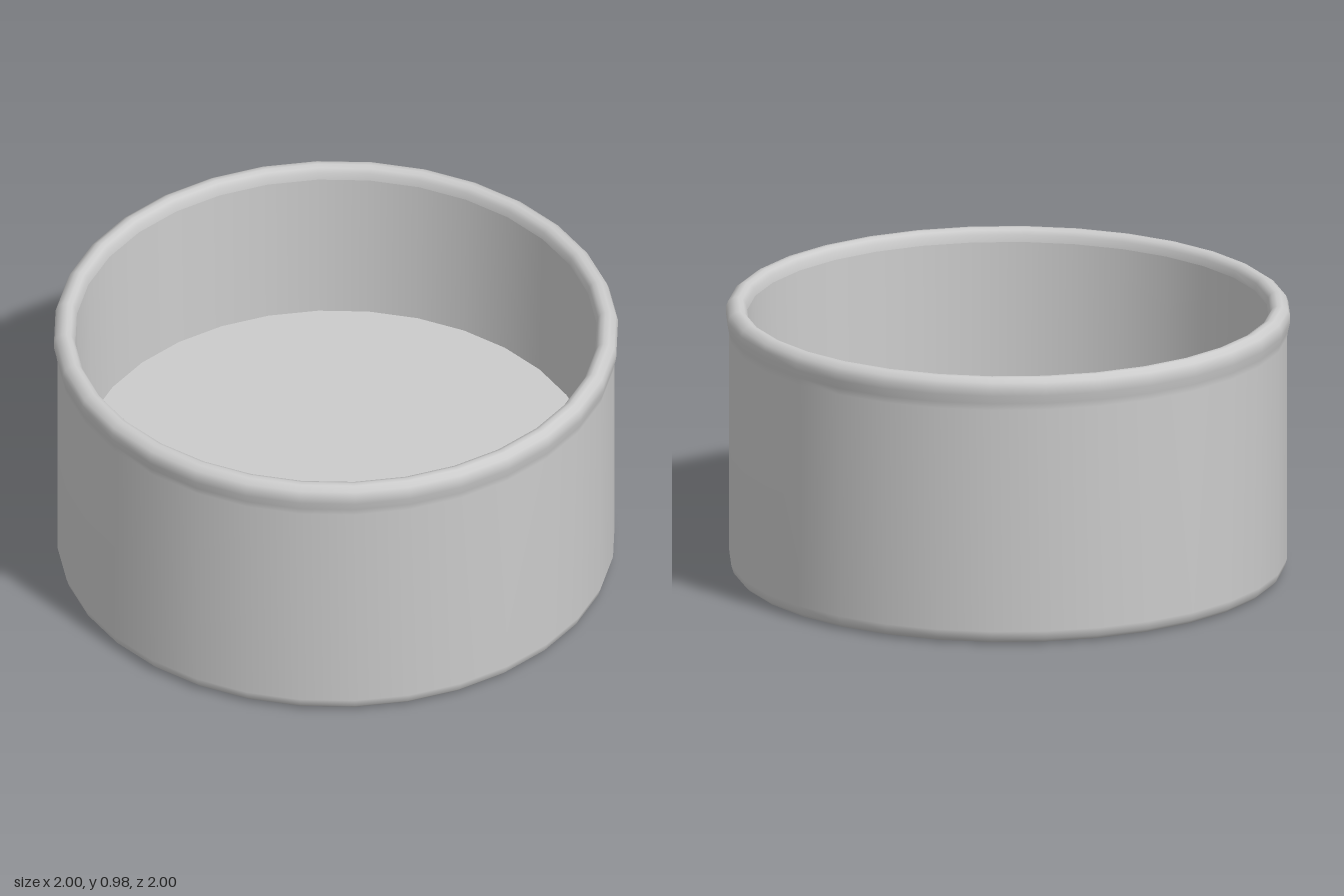
import * as THREE from 'three';

const SIDES = 32;
const FLOOR_Y = 0.37;

// Revolves a [radius, height] profile into a named mesh
function lathe(name, profile, material) {
  const points = profile.map(([r, y]) => new THREE.Vector2(r, y));
  const mesh = new THREE.Mesh(new THREE.LatheGeometry(points, SIDES), material);
  mesh.name = name;
  return mesh;
}

export function createModel() {
  const group = new THREE.Group();
  group.name = 'roundDish';
  const material = new THREE.MeshStandardMaterial({ color: 0xcccccc });

  // Flat underside
  group.add(lathe('base', [[0, 0], [0.945, 0]], material));

  // Outer wall with softened foot, flaring into a rolled rim
  group.add(lathe('outerWallAndRim', [
    [0.945, 0], [0.965, 0.006], [0.979, 0.02], [0.988, 0.05],
    [0.988, 0.865], [0.992, 0.89], [0.999, 0.92], [1, 0.945],
    [0.992, 0.966], [0.972, 0.98], [0.955, 0.981], [0.94, 0.975],
    [0.929, 0.96], [0.924, 0.935],
  ], material));

  // Slightly tapered inner wall
  group.add(lathe('innerWall', [[0.924, 0.935], [0.91, FLOOR_Y]], material));

  // Raised inner floor, meeting the wall at a sharp edge
  group.add(lathe('floor', [[0.91, FLOOR_Y], [0, FLOOR_Y]], material));

  return group;
}
